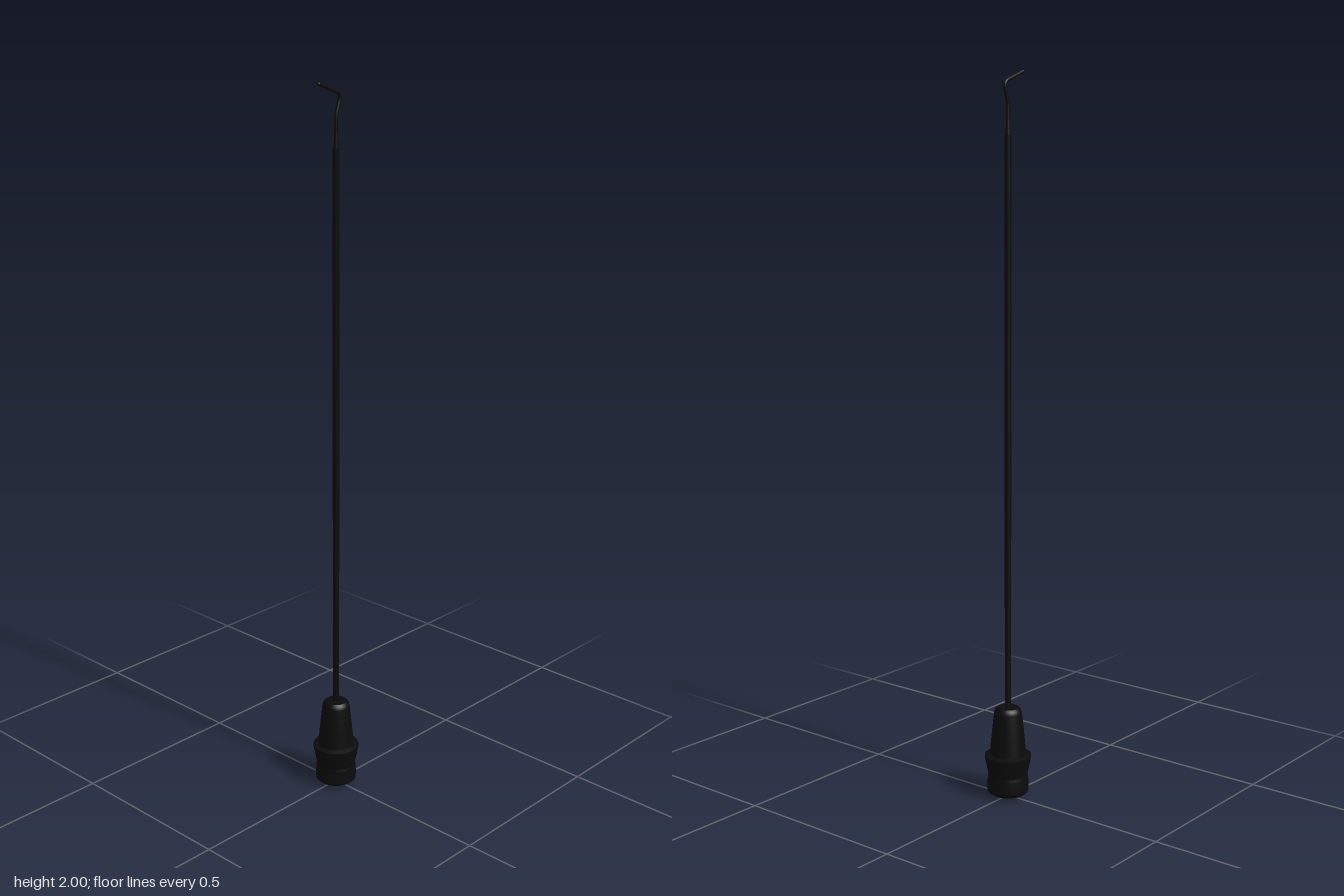
import * as THREE from 'three';

export function createModel() {
  const group = new THREE.Group();
  const material = new THREE.MeshStandardMaterial({ color: 0x0b0b0b });
  const add = (name, geometry, y = 0, x = 0) => {
    const mesh = new THREE.Mesh(geometry, material);
    mesh.name = name;
    mesh.position.set(x, y, 0);
    group.add(mesh);
    return mesh;
  };
  // Each section is its own lathe, so edges between sections stay sharp
  const turned = (name, sections) => {
    const part = new THREE.Group();
    part.name = name;
    for (const section of sections) {
      const points = section.map(([r, y]) => new THREE.Vector2(r, y));
      const mesh = new THREE.Mesh(new THREE.LatheGeometry(points, 48), material);
      mesh.name = name + 'Section';
      part.add(mesh);
    }
    group.add(part);
  };

  // Handle: end cap, waisted grip, flange and tapered neck
  turned('handle', [
    [[0, 0.003], [0.03, 0.006], [0.05, 0.01], [0.057, 0.016], [0.058, 0.022]],
    [[0.058, 0.022], [0.057, 0.055], [0.055, 0.065]],
    [[0.055, 0.065], [0.06, 0.09], [0.065, 0.115], [0.065, 0.122]],
    [[0.065, 0.122], [0.051, 0.126]],
    [[0.051, 0.126], [0.046, 0.18], [0.039, 0.245], [0.036, 0.255], [0.03, 0.26]],
    [[0.03, 0.26], [0, 0.26]],
  ]);
  add('endButton', new THREE.CylinderGeometry(0.026, 0.024, 0.01, 32), 0.005);

  // Long straight shaft with a short stepped collar
  add('shaft', new THREE.CylinderGeometry(0.009, 0.009, 1.58, 24), 1.04);
  add('collar', new THREE.CylinderGeometry(0.005, 0.0065, 0.04, 20), 1.85);

  // Thin wire bent over into a hook
  const path = new THREE.CurvePath();
  const v = (x, y) => new THREE.Vector3(x, y, 0);
  path.add(new THREE.LineCurve3(v(0, 1.82), v(0, 1.9)));
  path.add(new THREE.QuadraticBezierCurve3(v(0, 1.9), v(0, 1.915), v(0.005, 1.928)));
  path.add(new THREE.LineCurve3(v(0.005, 1.928), v(0.01, 1.943)));
  path.add(new THREE.QuadraticBezierCurve3(v(0.01, 1.943), v(0.018, 1.967), v(-0.002, 1.973)));
  path.add(new THREE.LineCurve3(v(-0.002, 1.973), v(-0.062, 1.995)));
  add('hook', new THREE.TubeGeometry(path, 80, 0.0048, 14));
  add('hookTip', new THREE.SphereGeometry(0.005, 16, 12), 1.995, -0.062);

  return group;
}
